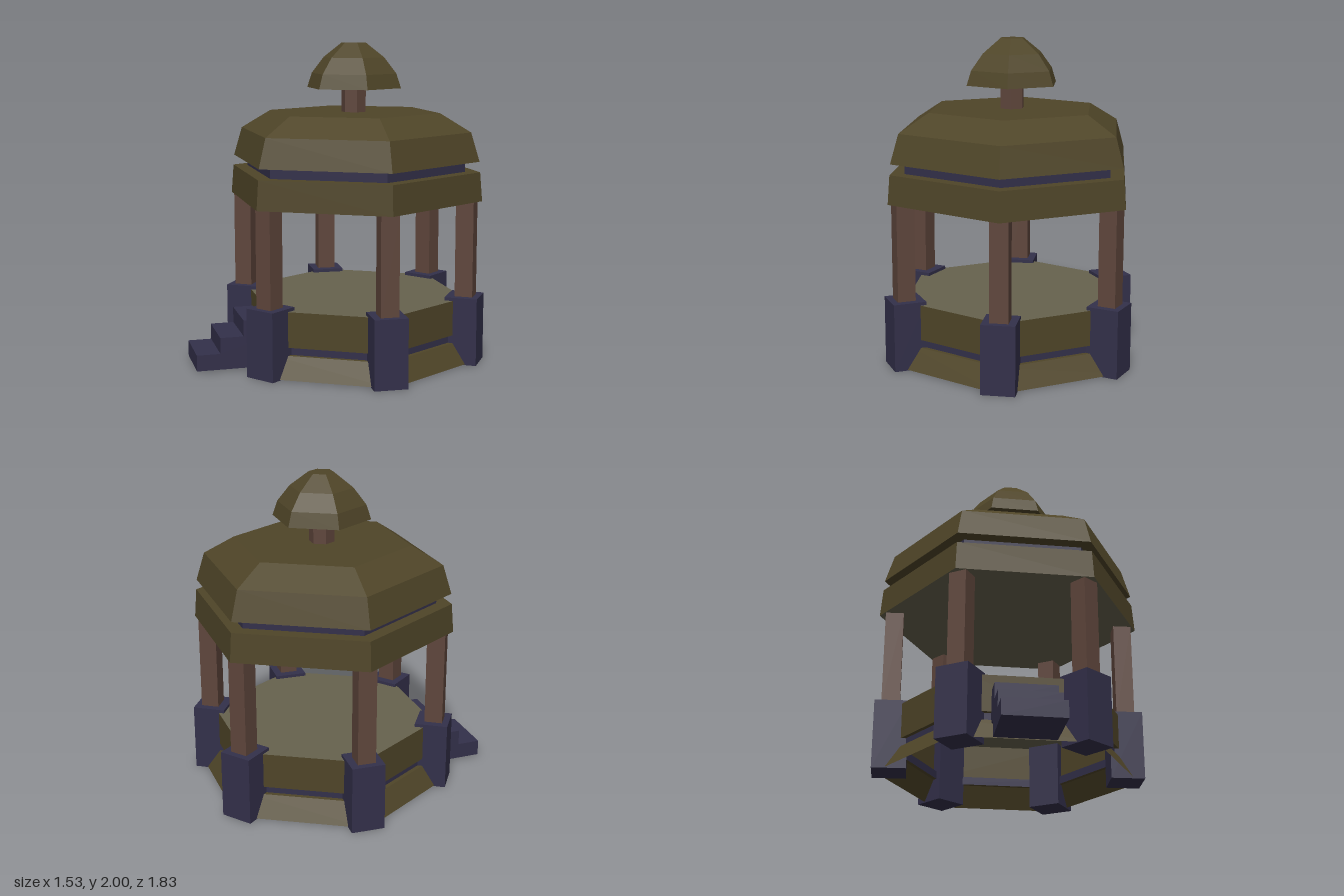
import * as THREE from 'three';

const paint = (color) => new THREE.MeshStandardMaterial({ color, flatShading: true, side: THREE.DoubleSide });

export function createModel() {
  const olive = paint(0x4f4528);
  const stone = paint(0x33304a);
  const wood = paint(0x5f463c);
  const plaster = paint(0x66624e);

  const group = new THREE.Group();
  group.name = 'gazebo';
  const pavilion = new THREE.Group();
  pavilion.name = 'pavilion';
  pavilion.position.z = -0.08;
  group.add(pavilion);

  // Six-sided shell from [radius, height] pairs, listed bottom to top
  function hex(name, material, profile) {
    const points = profile.map(([r, y]) => new THREE.Vector2(r, y));
    const mesh = new THREE.Mesh(new THREE.LatheGeometry(points, 6), material);
    mesh.name = name;
    pavilion.add(mesh);
  }

  // Box resting at height y0, placed outward along a compass angle
  function radialBox(name, material, [w, h, d], angle, distance, y0, twist = 0) {
    const mesh = new THREE.Mesh(new THREE.BoxGeometry(w, h, d), material);
    mesh.name = name;
    mesh.position.set(Math.sin(angle) * distance, y0 + h / 2, Math.cos(angle) * distance);
    mesh.rotation.y = angle + twist;
    pavilion.add(mesh);
  }

  // Hollow platform, open underneath
  hex('skirt', olive, [[0.805, 0.01], [0.72, 0.14], [0.69, 0.14]]);
  hex('platformGroove', stone, [[0.69, 0.14], [0.69, 0.19]]);
  hex('platformWall', olive, [[0.69, 0.19], [0.72, 0.19], [0.72, 0.41]]);
  hex('floor', plaster, [[0.72, 0.41], [0, 0.41]]);

  // Corner plinths and posts, each slightly twisted
  const twists = [7, -3, -4, 7, -3, -4];
  twists.forEach((degrees, i) => {
    const angle = (i * Math.PI) / 3;
    const twist = THREE.MathUtils.degToRad(degrees);
    radialBox('plinth', stone, [0.205, 0.425, 0.205], angle, 0.718, 0.005, twist);
    radialBox('post', wood, [0.112, 0.61, 0.112], angle, 0.725, 0.425, twist);
  });

  // Overlapping stair slabs running in under the floor
  for (let i = 0; i < 3; i++) {
    radialBox('step', stone, [0.36, 0.1, 0.355], -Math.PI / 6, 0.868 - i * 0.146, 0.015 + i * 0.1);
  }

  // Roof tiers
  hex('ceiling', plaster, [[0, 1.03], [0.82, 1.03]]);
  hex('lowerRoof', olive, [[0.82, 1.03], [0.805, 1.21], [0, 1.21]]);
  hex('roofGroove', stone, [[0.71, 1.21], [0.71, 1.275]]);
  hex('upperRoof', olive, [[0, 1.275], [0.8, 1.275], [0.745, 1.455], [0.55, 1.57], [0, 1.57]]);

  // Crowning post and cap
  hex('crownPost', wood, [[0.078, 1.57], [0.078, 1.72]]);
  hex('crownCap', olive, [[0, 1.72], [0.303, 1.72], [0.273, 1.81], [0.195, 1.91], [0.078, 2], [0, 2]]);

  return group;
}
